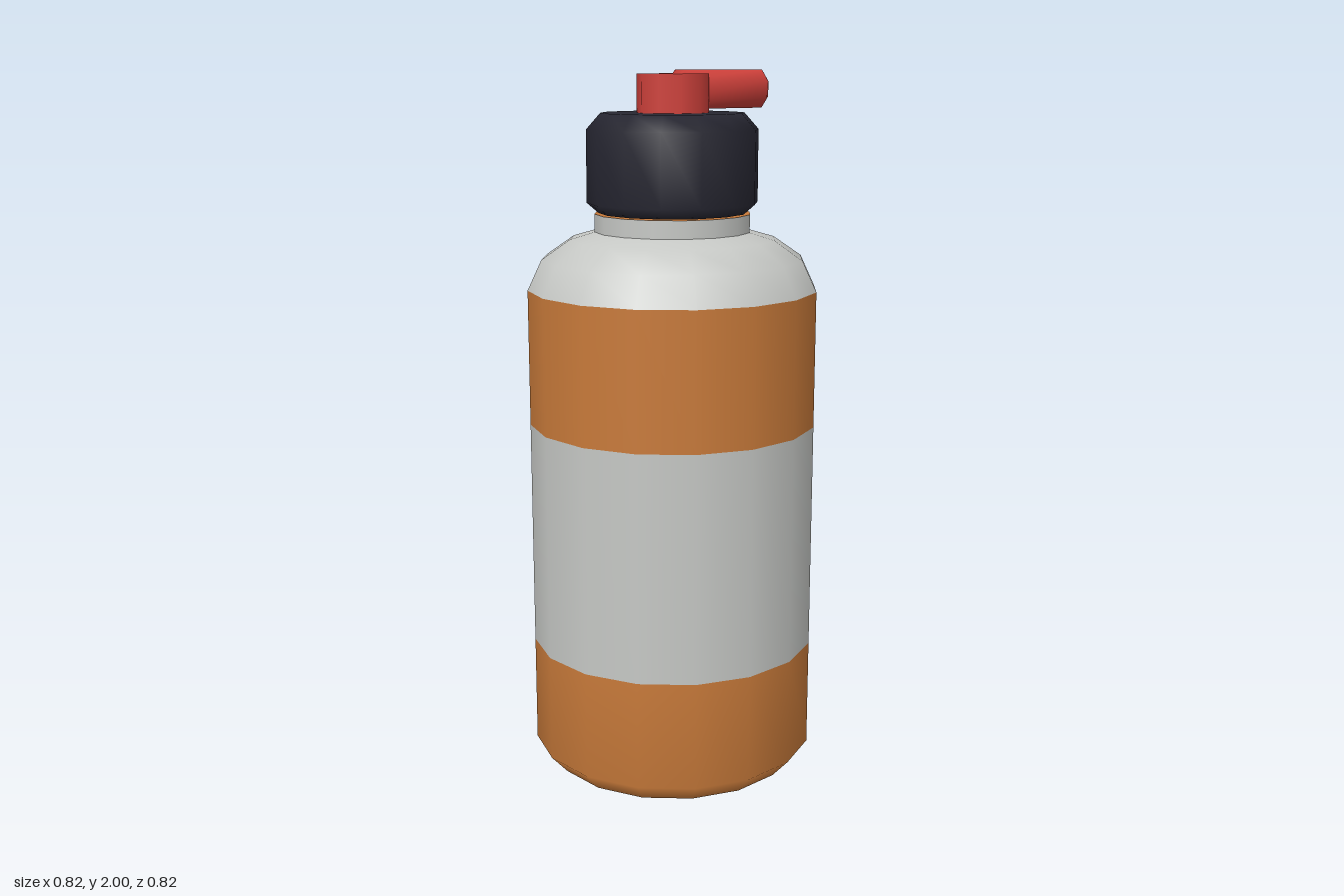
import * as THREE from 'three';
import { mergeVertices } from 'three/addons/utils/BufferGeometryUtils.js';

const mat = (name, color) => {
  const m = new THREE.MeshStandardMaterial({ color });
  m.name = name;
  return m;
};

export function createModel() {
  const group = new THREE.Group();
  group.name = 'sprayBottle';
  const grey = mat('light grey', 0xc6c8c5);
  const orange = mat('orange', 0xc87a3a);
  const navy = mat('dark navy', 0x262631);
  const red = mat('red', 0xce403a);

  const add = (name, geometry, material) => {
    const mesh = new THREE.Mesh(geometry, material);
    mesh.name = name;
    group.add(mesh);
    return mesh;
  };
  // Profiles are [radius, height] from bottom to top, with a corner on the x axis
  const lathe = (name, profile, sides, material) =>
    add(name, new THREE.LatheGeometry(
      profile.map(([r, y]) => new THREE.Vector2(r, y)), sides, Math.PI / 2), material);
  const disc = (name, r, y, sides, material, up) => {
    const mesh = add(name, new THREE.CircleGeometry(r, sides), material);
    mesh.rotation.x = up ? -Math.PI / 2 : Math.PI / 2;
    mesh.position.y = y;
  };

  // Bottle body in coloured bands
  disc('base', 0.36, 0, 16, grey, false);
  lathe('lowerBand', [[0.36, 0], [0.41, 0.055], [0.41, 0.365]], 16, orange);
  lathe('label', [[0.41, 0.365], [0.41, 1.015]], 16, grey);
  lathe('upperBand', [[0.41, 1.015], [0.41, 1.4]], 16, orange);
  lathe('shoulder', [[0.41, 1.4], [0.37, 1.485], [0.29, 1.54], [0.21, 1.563]], 16, grey);

  // Neck ring with its coloured top
  lathe('neck', [[0.22, 1.56], [0.22, 1.61]], 16, grey);
  disc('neckTop', 0.22, 1.61, 16, orange, true);

  // Chamfered cap
  lathe('cap', [[0, 1.612], [0.208, 1.612], [0.24, 1.64], [0.24, 1.84], [0.2, 1.885], [0, 1.885]], 14, navy);

  // Pump stem
  const stem = add('pumpStem',
    new THREE.CylinderGeometry(0.1, 0.1, 0.11, 10, 1, false, Math.PI / 2), red);
  stem.position.y = 1.935;

  // Spout: chamfered bar with softened normals, pointing to +x
  const c = 0.018, b = 0.014, w = 0.054 - b, h = 0.0525 - b;
  const section = new THREE.Shape([
    [w, -h + c], [w, h - c], [w - c, h], [-w + c, h],
    [-w, h - c], [-w, -h + c], [-w + c, -h], [w - c, -h],
  ].map(([x, y]) => new THREE.Vector2(x, y)));
  let spout = new THREE.ExtrudeGeometry(section, {
    depth: 0.282 - 2 * b, bevelEnabled: true, bevelSegments: 1, bevelSize: b, bevelThickness: b,
  });
  spout.deleteAttribute('normal');
  spout.deleteAttribute('uv');
  spout = mergeVertices(spout, 1e-4);
  spout.rotateY(Math.PI / 2);
  spout.translate(0.01 + b, 1.9475, 0);
  spout.computeVertexNormals();
  add('spout', spout, red);

  return group;
}
